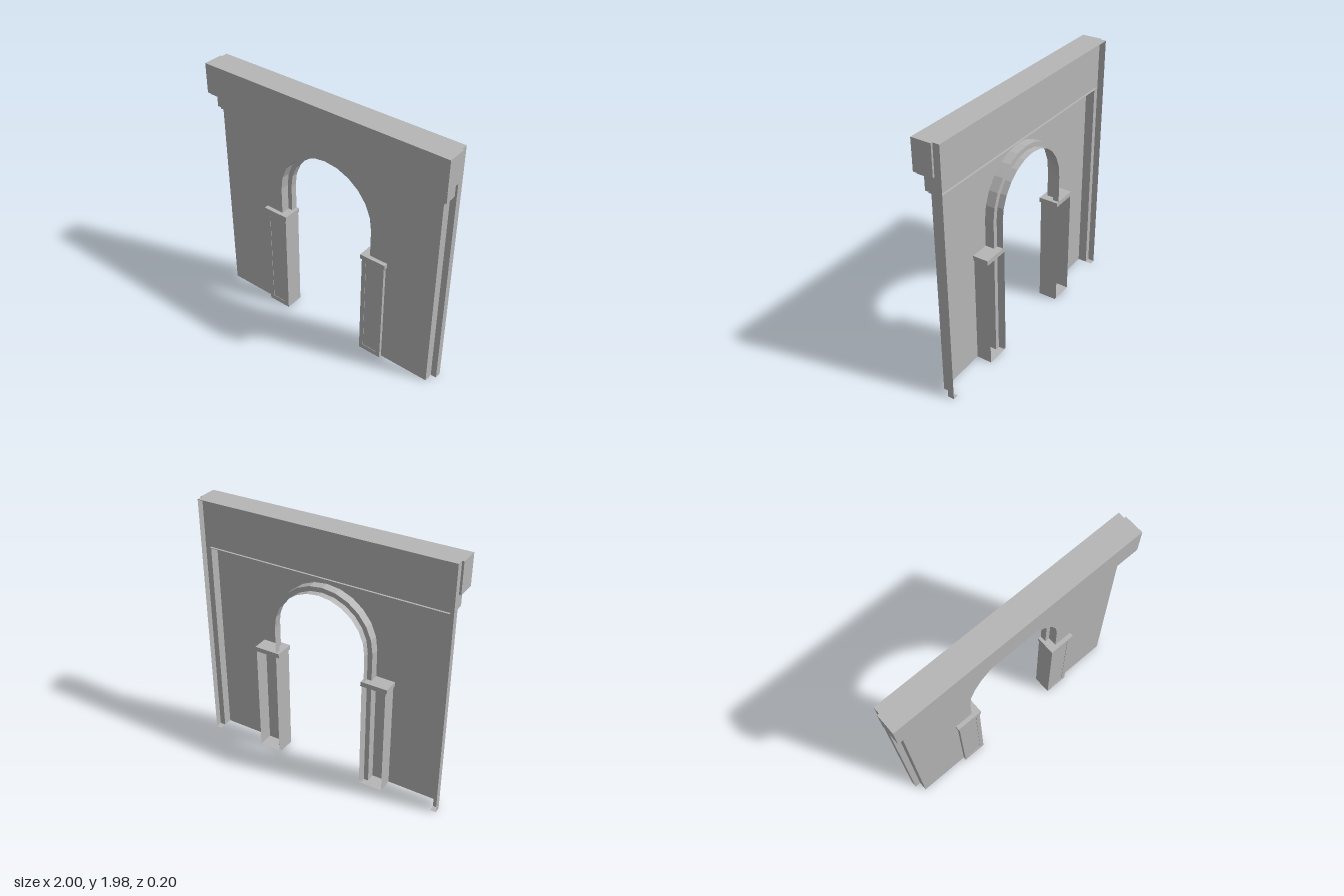
import * as THREE from 'three';

export function createModel() {
  const root = new THREE.Group();
  root.name = 'archwayFacade';
  const stone = new THREE.MeshStandardMaterial({ color: 0xb6b6b6, side: THREE.DoubleSide, flatShading: true });
  stone.name = 'greyStone';

  // Depth planes shared by the parts
  const FRONT = 0.02, STEP = -0.05, BACK = -0.1;
  const SPRING = 1.121, R_OUT = 0.403, R_IN = 0.367;

  const add = (name, geometry, parent = root) => {
    const mesh = new THREE.Mesh(geometry, stone);
    mesh.name = name;
    parent.add(mesh);
    return mesh;
  };

  // Solid block given by its limits
  const block = (name, x0, x1, y0, y1, z0, z1, parent) => {
    const g = new THREE.BoxGeometry(x1 - x0, y1 - y0, z1 - z0);
    g.translate((x0 + x1) / 2, (y0 + y1) / 2, (z0 + z1) / 2);
    return add(name, g, parent);
  };

  // Flat face on a z plane
  const face = (name, points, z, parent, hole) => {
    const shape = new THREE.Shape(points);
    if (hole) shape.holes.push(new THREE.Path(hole));
    return add(name, new THREE.ShapeGeometry(shape).translate(0, 0, z), parent);
  };

  // Open sheet following a front outline from z0 to z1
  const ribbon = (name, points, z0, z1, parent) => {
    const pos = [], index = [];
    points.forEach((p, i) => {
      pos.push(p.x, p.y, z0, p.x, p.y, z1);
      if (i) {
        const a = 2 * (i - 1);
        index.push(a, a + 1, a + 2, a + 1, a + 3, a + 2);
      }
    });
    const g = new THREE.BufferGeometry();
    g.setAttribute('position', new THREE.Float32BufferAttribute(pos, 3));
    g.setIndex(index);
    const flat = g.toNonIndexed();
    flat.computeVertexNormals();
    return add(name, flat, parent);
  };

  const v = (x, y) => new THREE.Vector2(x, y);
  const rect = (x0, x1, y0, y1) => [v(x0, y0), v(x1, y0), v(x1, y1), v(x0, y1)];

  // Round-headed opening outline, left foot to right foot
  const archPath = (r, segments = 12) => {
    const pts = [v(-r, 0)];
    for (let i = 0; i <= segments; i++) {
      const a = Math.PI * (1 - i / segments);
      pts.push(v(r * Math.cos(a), SPRING + r * Math.sin(a)));
    }
    pts.push(v(r, 0));
    return pts;
  };
  const outer = archPath(R_OUT), inner = archPath(R_IN);

  // Wall front with the arch cut out
  face('wallFront', [v(-0.94, 0), ...outer, v(0.94, 0), v(0.94, 1.61), v(-0.94, 1.61)], FRONT);

  // Stepped reveal of the arch
  ribbon('archOuterReveal', outer, STEP, FRONT);
  face('archStep', [...outer, ...inner.slice().reverse()], STEP);
  ribbon('archInnerReveal', inner, BACK, STEP);

  // Entablature, from the lower lip to the top beam
  block('lowerLip', -0.955, 0.955, 1.6, 1.62, STEP, 0.03);
  block('frieze', -0.97, 0.97, 1.62, 1.73, STEP, 0.042);
  block('bedMoulding', -0.985, 0.985, 1.73, 1.746, STEP, 0.085);
  block('topBeam', -1, 1, 1.746, 1.975, STEP, 0.1);
  block('topBackLedge', -0.985, 0.985, 1.971, 1.975, BACK, STEP);
  block('rearLedge', -0.94, 0.94, 1.6, 1.604, STEP - 0.015, STEP);

  for (const side of [1, -1]) {
    const label = side > 0 ? 'left' : 'right';

    // Stepped wall end, open at the rear
    const end = new THREE.Group();
    end.name = label + 'WallEnd';
    root.add(end);
    const X = side * 0.94, E = side * 0.985;
    ribbon('endReturn', [v(X, 0), v(X, 1.61)], STEP, FRONT, end);
    face('endStep', rect(Math.min(X, E), Math.max(X, E), 0, 1.975), STEP, end);
    ribbon('endEdge', [v(E, 0), v(E, 1.975)], BACK, STEP, end);
    ribbon('endFoot', [v(X, 0), v(E, 0)], BACK, STEP, end);

    // Hollow pier with a shallow front panel and a cap
    const pier = new THREE.Group();
    pier.name = label + 'Pier';
    pier.position.x = side * 0.446;
    root.add(pier);
    const w = 0.094, panel = rect(-0.06, 0.06, 0.04, 0.84);
    face('pierFront', rect(-w, w, 0, 0.87), 0.045, pier, panel);
    face('pierPanel', panel, 0.042, pier);
    ribbon('panelEdge', [...panel, panel[0]], 0.042, 0.045, pier);
    ribbon('pierSidesAndFoot', [v(-w, 0.87), v(-w, 0), v(w, 0), v(w, 0.87)], BACK, 0.045, pier);
    block('pierCap', -0.104, 0.104, 0.87, 0.906, BACK, 0.052, pier);
  }

  return root;
}
